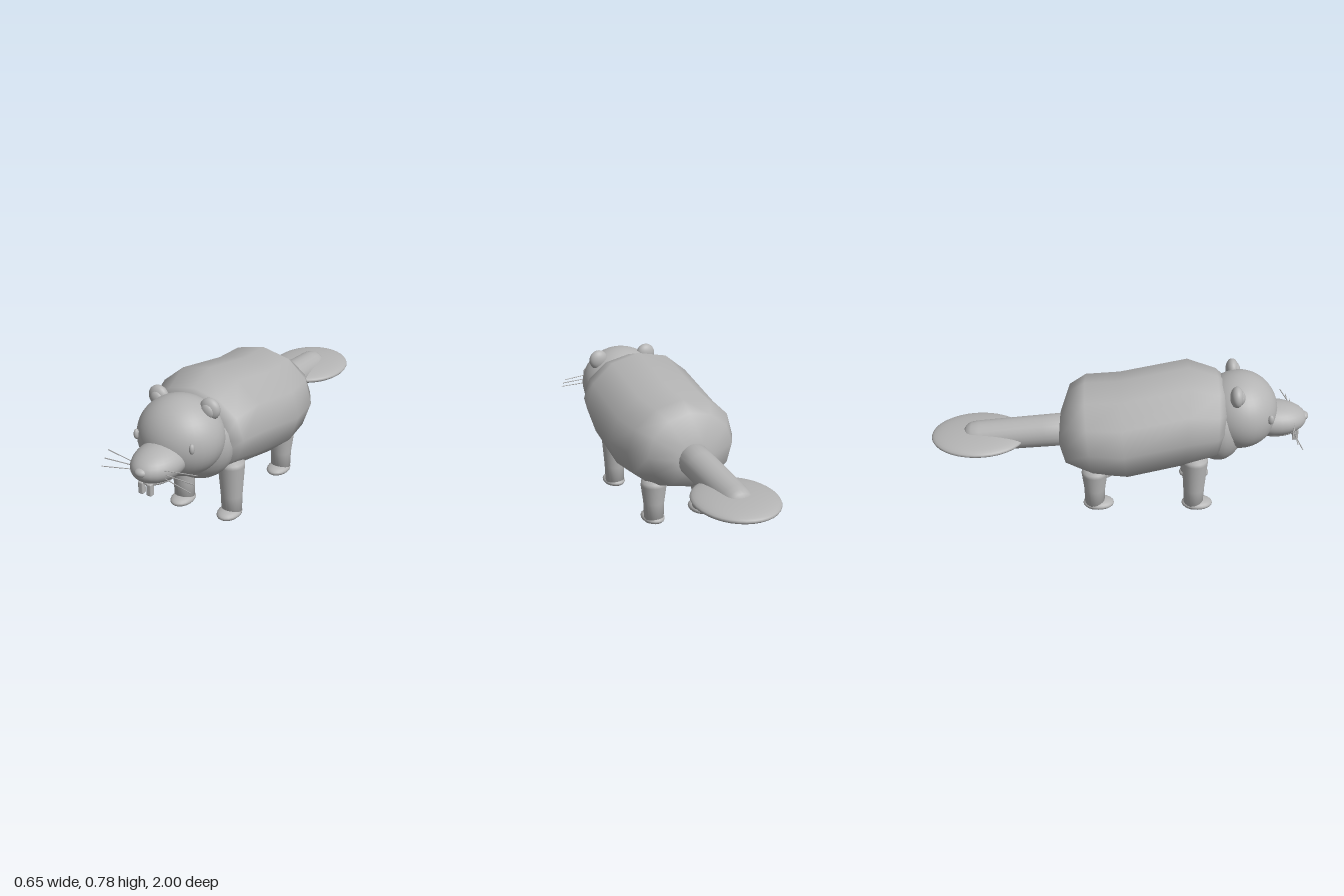
import * as THREE from 'three';
import { RoundedBoxGeometry } from 'three/addons/geometries/RoundedBoxGeometry.js';

const grey = new THREE.MeshStandardMaterial({ color: 0xb4b4b4 });
grey.name = 'grey';

export function createModel() {
  const model = new THREE.Group();
  model.name = 'beaver';

  const add = (name, geometry, x = 0, y = 0, z = 0) => {
    const mesh = new THREE.Mesh(geometry, grey);
    mesh.name = name;
    mesh.position.set(x, y, z);
    model.add(mesh);
    return mesh;
  };
  const ball = (name, pos, radii, w = 28, h = 18) =>
    add(name, new THREE.SphereGeometry(1, w, h).scale(...radii), ...pos);
  const lathe = (points, segments = 20) =>
    new THREE.LatheGeometry(points.map(p => new THREE.Vector2(...p)), segments);

  // Body: twelve-sided rings, each [zTop, yTop, zBottom, yBottom, halfWidth], back to front
  const rings = [
    [-0.315, 0.42, -0.315, 0.42, 0],
    [-0.31, 0.5, -0.32, 0.34, 0.1],
    [-0.26, 0.645, -0.285, 0.25, 0.24],
    [-0.18, 0.695, -0.13, 0.19, 0.305],
    [0, 0.705, 0.05, 0.177, 0.323],
    [0.36, 0.785, 0.33, 0.25, 0.32],
    [0.51, 0.735, 0.5, 0.3, 0.275],
    [0.56, 0.7, 0.54, 0.33, 0.2],
    [0.56, 0.5, 0.56, 0.5, 0],
  ];
  const sides = 12, positions = [], faces = [];
  rings.forEach(([zt, yt, zb, yb, w], r) => {
    for (let i = 0; i < sides; i++) {
      const a = (i / sides) * Math.PI * 2, t = (1 + Math.cos(a)) / 2;
      positions.push(w * Math.sin(a), yb + (yt - yb) * t, zb + (zt - zb) * t);
      if (r === rings.length - 1) continue;
      const p = r * sides + i, q = r * sides + (i + 1) % sides;
      if (r < rings.length - 2) faces.push(p, p + sides, q + sides);
      else faces.push(p, p + sides, q);
      if (r > 0 && r < rings.length - 2) faces.push(p, q + sides, q);
    }
  });
  const body = new THREE.BufferGeometry();
  body.setAttribute('position', new THREE.Float32BufferAttribute(positions, 3));
  body.setIndex(faces);
  body.computeVertexNormals();
  add('body', body);

  // Head
  ball('neck', [0, 0.48, 0.52], [0.225, 0.22, 0.15]);
  ball('head', [0, 0.54, 0.63], [0.22, 0.202, 0.2], 36, 24);
  ball('snout', [0, 0.487, 0.81], [0.123, 0.088, 0.178]);
  ball('lowerJaw', [0, 0.424, 0.82], [0.082, 0.029, 0.125]);
  ball('nose', [0, 0.497, 0.972], [0.032, 0.022, 0.026]);

  for (const s of [1, -1]) {
    const side = s > 0 ? 'left' : 'right';
    ball(side + 'Ear', [s * 0.145, 0.697, 0.597], [0.054, 0.055, 0.034]);
    ball(side + 'InnerEar', [s * 0.143, 0.692, 0.618], [0.036, 0.038, 0.022]);
    ball(side + 'Eye', [s * 0.156, 0.568, 0.778], [0.013, 0.026, 0.016], 16, 12);
    const tooth = new RoundedBoxGeometry(0.028, 0.064, 0.03, 3, 0.007);
    add(side + 'Tooth', tooth, s * 0.023, 0.397, 0.936);

    // Whiskers fan out from the cheek
    [[0.505, 0.505, 0.92, 0.88], [0.483, 0.475, 0.912, 0.912], [0.46, 0.445, 0.905, 0.94]]
      .forEach(([y0, y1, z0, z1], i) => {
        const line = new THREE.LineCurve3(
          new THREE.Vector3(s * 0.07, y0, z0), new THREE.Vector3(s * 0.25, y1, z1));
        add(side + 'Whisker' + (i + 1), new THREE.TubeGeometry(line, 1, 0.0025, 6));
      });

    // Legs taper to the foot, with a domed top
    for (const [end, z, top] of [['Front', 0.4, 0.345], ['Back', -0.13, 0.272]]) {
      const leg = lathe([[0, 0.02], [0.052, 0.02], [0.056, 0.13], [0.069, top - 0.045],
        [0.067, top - 0.025], [0.045, top - 0.006], [0, top]]);
      add(side + end + 'Leg', leg, s * 0.143, 0, z);
      ball(side + end + 'Foot', [s * 0.141, 0.031, z + 0.02], [0.06, 0.028, 0.083], 20, 12);
    }
  }

  // Tail: tapered stalk running back and slightly down into a flat paddle
  const stalk = lathe([[0, 0], [0.088, 0], [0.086, 0.2], [0.082, 0.54], [0.079, 0.58],
    [0.069, 0.605], [0.047, 0.625], [0, 0.634]], 24);
  add('tailStalk', stalk, 0, 0.42, -0.2).rotation.x = -Math.PI / 2 - 0.095;
  ball('tailPaddle', [0, 0.374, -0.747], [0.21, 0.042, 0.252], 36, 18);

  return model;
}
